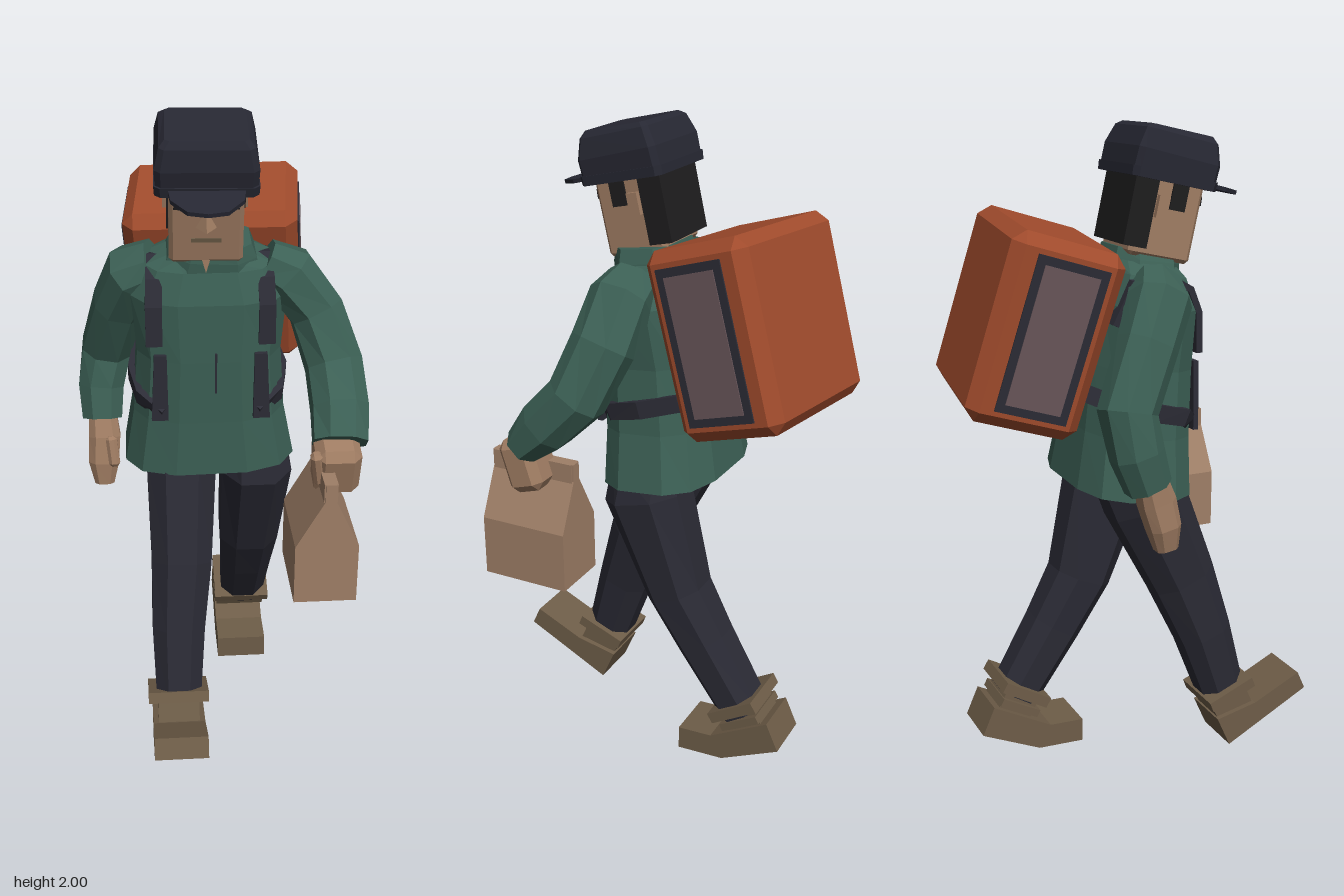
import * as THREE from 'three';
import { ConvexGeometry } from 'three/addons/geometries/ConvexGeometry.js';

const mat = (name, color) => {
  const m = new THREE.MeshStandardMaterial({ color, flatShading: true });
  m.name = name;
  return m;
};

// Loft along [x, y, z, halfWidth, halfDepth] stations; p squares off the section
function loft(st, n = 8, p = 2) {
  const C = st.map(s => new THREE.Vector3(s[0], s[1], s[2]));
  const pw = v => Math.sign(v) * Math.pow(Math.abs(v), 2 / p);
  const rings = st.map((s, i) => {
    const t = C[Math.min(i + 1, C.length - 1)].clone().sub(C[Math.max(i - 1, 0)]).normalize();
    const u = new THREE.Vector3(1, 0, 0).addScaledVector(t, -t.x).normalize();
    const v = t.clone().cross(u);
    return Array.from({ length: n }, (_, j) => {
      const a = (j + 0.5) / n * Math.PI * 2;
      return C[i].clone().addScaledVector(u, s[3] * pw(Math.cos(a))).addScaledVector(v, s[4] * pw(Math.sin(a)));
    });
  });
  const pts = [], last = rings.length - 1;
  for (let j = 0; j < n; j++) {
    const k = (j + 1) % n;
    for (let i = 0; i < last; i++) {
      const a = rings[i], b = rings[i + 1];
      pts.push(a[j], a[k], b[j], a[k], b[k], b[j]);
    }
    pts.push(C[0], rings[0][k], rings[0][j], C[last], rings[last][j], rings[last][k]);
  }
  const g = new THREE.BufferGeometry().setFromPoints(pts);
  g.computeVertexNormals();
  return g;
}

// Box with all edges cut off by c
function chamferBox(w, h, d, c) {
  const pts = [];
  for (const x of [-1, 1]) for (const y of [-1, 1]) for (const z of [-1, 1]) {
    const X = x * w / 2, Y = y * h / 2, Z = z * d / 2;
    pts.push(new THREE.Vector3(X, Y - y * c, Z - z * c),
      new THREE.Vector3(X - x * c, Y, Z - z * c),
      new THREE.Vector3(X - x * c, Y - y * c, Z));
  }
  return new ConvexGeometry(pts);
}

const box = (w, h, d) => new THREE.BoxGeometry(w, h, d);
const shapeOf = pts => new THREE.Shape(pts.map(p => new THREE.Vector2(p[0], p[1])));
const extrude = (shape, depth) => new THREE.ExtrudeGeometry(shape, { depth, bevelEnabled: false });

// Side outline of (z, y) points given width w about x = cx
function sideProfile(pts, cx, w) {
  return extrude(shapeOf(pts), w).rotateY(-Math.PI / 2).translate(cx + w / 2, 0, 0);
}

export function createModel() {
  const root = new THREE.Group();
  root.name = 'walkingCourier';
  const green = mat('jacket green', 0x3c6055), navy = mat('trouser navy', 0x2a2a34),
    capMat = mat('cap navy', 0x272833), black = mat('hair black', 0x1e1d1e),
    skin = mat('skin', 0xa07d63), paper = mat('paper brown', 0x9f7f67),
    orange = mat('pack orange', 0xa04b2c), dark = mat('strap dark', 0x2c2c36),
    panel = mat('panel mauve', 0x69565a), shoe = mat('shoe brown', 0x6e5d48);

  const add = (parent, name, geo, m, pos = [0, 0, 0], rot = [0, 0, 0]) => {
    const mesh = new THREE.Mesh(geo, m);
    mesh.name = name;
    mesh.position.set(...pos);
    mesh.rotation.set(...rot);
    parent.add(mesh);
    return mesh;
  };
  const group = (name, pos, rot, order = 'XYZ') => {
    const g = new THREE.Group();
    g.name = name;
    g.position.set(...pos);
    g.rotation.set(...rot, order);
    root.add(g);
    return g;
  };

  // Jacket body and collar
  add(root, 'jacketBody', loft([
    [-0.032, 0.925, -0.035, 0.268, 0.185], [-0.035, 1.1, -0.018, 0.235, 0.17],
    [-0.035, 1.3, 0.0, 0.22, 0.162], [-0.035, 1.48, 0.02, 0.235, 0.146],
    [-0.035, 1.57, 0.03, 0.19, 0.115], [-0.035, 1.6, 0.035, 0.12, 0.1]], 12, 3), green);
  add(root, 'collar', loft([
    [-0.03, 1.54, 0.03, 0.155, 0.115], [-0.025, 1.6, 0.04, 0.135, 0.112],
    [-0.025, 1.635, 0.045, 0.118, 0.105]], 8, 2.8), green);
  add(root, 'neckOpening', new ConvexGeometry([[-0.065, 1.62], [-0.03, 1.62], [-0.048, 1.56]].flatMap(
    ([x, y]) => [new THREE.Vector3(x, y, 0.12), new THREE.Vector3(x, y, 0.149)])), skin);
  add(root, 'zip', box(0.006, 0.13, 0.008), dark, [-0.02, 1.25, 0.156], [0.06, 0, 0]);

  // Sleeves
  add(root, 'leftSleeve', loft([
    [0.13, 1.55, 0.03, 0.07, 0.08], [0.2, 1.515, 0.035, 0.09, 0.095], [0.285, 1.4, 0.05, 0.085, 0.095],
    [0.335, 1.25, 0.11, 0.088, 0.09], [0.342, 1.15, 0.21, 0.088, 0.085],
    [0.336, 1.075, 0.285, 0.085, 0.062]], 8, 2.3), green);
  add(root, 'rightSleeve', loft([
    [-0.19, 1.545, 0.02, 0.07, 0.08], [-0.255, 1.515, 0.0, 0.085, 0.095], [-0.3, 1.4, -0.06, 0.08, 0.09],
    [-0.345, 1.22, -0.145, 0.08, 0.087], [-0.365, 1.1, -0.125, 0.075, 0.08],
    [-0.365, 1.0, -0.09, 0.066, 0.07]], 8, 2.3), green);

  // Hands
  add(root, 'leftHand', chamferBox(0.135, 0.17, 0.12, 0.025), skin, [0.325, 1.01, 0.293], [0.3, 0, 0]);
  add(root, 'leftThumb', chamferBox(0.035, 0.11, 0.04, 0.01), skin, [0.265, 1.02, 0.335], [0.2, 0, 0.15]);
  add(root, 'rightHand', loft([
    [-0.365, 1.03, -0.085, 0.045, 0.045], [-0.36, 0.95, -0.06, 0.052, 0.055],
    [-0.365, 0.87, -0.04, 0.05, 0.05], [-0.365, 0.8, -0.03, 0.032, 0.035]], 8, 3), skin);
  add(root, 'rightThumb', chamferBox(0.035, 0.1, 0.035, 0.01), skin, [-0.335, 0.92, -0.005], [-0.2, 0, 0.1]);

  // Paper bag with a folded top
  add(root, 'paperBag', extrude(shapeOf([[0.192, 0.62], [0.38, 0.62], [0.38, 0.81], [0.308, 0.96],
    [0.308, 1.015], [0.276, 1.015], [0.276, 0.96], [0.192, 0.81]]), 0.285), paper, [0, 0, 0.147]);
  add(root, 'bagFold', box(0.04, 0.06, 0.275), paper, [0.292, 0.985, 0.29]);

  // Trousers
  add(root, 'rightLeg', loft([
    [-0.125, 0.96, -0.035, 0.1, 0.115], [-0.122, 0.88, 0.015, 0.115, 0.132], [-0.13, 0.6, 0.14, 0.1, 0.11],
    [-0.145, 0.4, 0.215, 0.088, 0.092], [-0.15, 0.18, 0.285, 0.075, 0.077]], 8, 2.4), navy);
  add(root, 'leftLeg', loft([
    [0.105, 0.96, -0.01, 0.1, 0.12], [0.115, 0.88, -0.005, 0.118, 0.137], [0.105, 0.56, -0.11, 0.102, 0.1],
    [0.105, 0.4, -0.205, 0.09, 0.09], [0.105, 0.18, -0.345, 0.08, 0.077]], 8, 2.4), navy);

  // Shoes, narrower ankles and wide cuffs
  add(root, 'rightShoe', sideProfile([[0.28, 0.01], [0.565, 0.155], [0.537, 0.215], [0.375, 0.14],
    [0.235, 0.11]], -0.152, 0.165), shoe);
  add(root, 'rightAnkle', box(0.13, 0.1, 0.13), shoe, [-0.152, 0.15, 0.295], [-0.42, 0, 0]);
  add(root, 'rightShoeCuff', box(0.19, 0.035, 0.165), shoe, [-0.152, 0.195, 0.282], [-0.38, 0, 0]);
  add(root, 'leftShoe', sideProfile([[-0.142, 0.003], [-0.142, 0.08], [-0.255, 0.085],
    [-0.31, 0.115], [-0.447, 0.19], [-0.487, 0.1], [-0.295, 0.01]], 0.09, 0.165), shoe);
  add(root, 'leftAnkle', box(0.13, 0.11, 0.12), shoe, [0.095, 0.165, -0.36], [0.5, 0, 0]);
  add(root, 'leftShoeCuff', box(0.19, 0.035, 0.17), shoe, [0.1, 0.21, -0.335], [0.53, 0, 0]);
  add(root, 'leftAnkleBand', box(0.165, 0.025, 0.14), shoe, [0.096, 0.165, -0.355], [0.5, 0, 0]);

  // Head
  const head = group('head', [-0.045, 1.73, 0.07], [0.22, -0.03, 0]);
  add(head, 'face', chamferBox(0.21, 0.27, 0.2, 0.012), skin, [0, 0.015, 0.008]);
  add(head, 'neck', box(0.14, 0.16, 0.14), skin, [0, -0.15, -0.01]);
  add(head, 'hairBack', box(0.222, 0.22, 0.075), black, [0, 0.015, -0.08]);
  add(head, 'nose', new ConvexGeometry([[0, 0.06, 0.1], [-0.035, -0.005, 0.1], [0.035, -0.005, 0.1],
    [0, 0, 0.15]].map(p => new THREE.Vector3(...p))), skin);
  add(head, 'mouth', box(0.085, 0.012, 0.006), shoe, [0, -0.043, 0.109]);
  for (const s of [-1, 1]) {
    add(head, 'eye', box(0.07, 0.028, 0.008), black, [s * 0.055, 0.065, 0.109], [0, 0, s * 0.12]);
    add(head, 'sideburn', box(0.008, 0.085, 0.05), black, [s * 0.107, 0.07, 0.03]);
    add(head, 'ear', box(0.025, 0.065, 0.035), skin, [s * 0.109, 0.03, -0.02]);
  }

  // Cap
  add(head, 'capBand', loft([[0, 0.102, -0.004, 0.145, 0.137], [0, 0.13, -0.004, 0.147, 0.139]], 8, 14), capMat);
  add(head, 'capCrown', loft([[0, 0.12, -0.004, 0.142, 0.134], [0, 0.18, -0.002, 0.145, 0.134],
    [0, 0.238, 0, 0.132, 0.118], [0, 0.254, 0, 0.115, 0.103]], 8, 14), capMat);
  const brim = shapeOf([[-0.11, -0.09], [0.11, -0.09], [0.1, -0.18], [0.055, -0.24], [0, -0.252],
    [-0.055, -0.24], [-0.1, -0.18]]);
  add(head, 'capBrim', extrude(brim, 0.012), capMat, [0, 0.116, 0], [-Math.PI / 2 + 0.03, 0, 0]);

  // Box pack with a framed panel on each side
  const pack = group('pack', [0.012, 1.436, -0.309], [0.297, -0.115, 0.045], 'YXZ');
  add(pack, 'packBox', chamferBox(0.528, 0.555, 0.34, 0.035), orange);
  for (const s of [-1, 1]) {
    add(pack, 'panelFrame', box(0.008, 0.455, 0.215), dark, [s * 0.265, 0, 0.012]);
    add(pack, 'sidePanel', box(0.008, 0.405, 0.165), panel, [s * 0.268, 0, 0.012]);
  }

  // Shoulder straps and the belts running back to the pack
  for (const s of [-1, 1]) {
    const X = d => -0.035 + s * d;
    add(root, 'shoulderStrap', loft([
      [X(0.155), 1.44, -0.12, 0.029, 0.012], [X(0.155), 1.56, -0.06, 0.029, 0.012],
      [X(0.158), 1.575, 0.04, 0.029, 0.012], [X(0.162), 1.53, 0.12, 0.029, 0.012],
      [X(0.165), 1.46, 0.146, 0.029, 0.012], [X(0.165), 1.34, 0.148, 0.029, 0.012]], 4, 4), dark);
    add(root, 'lowerStrap', loft([
      [X(0.148), 1.31, 0.149, 0.022, 0.01], [X(0.152), 1.1, 0.146, 0.03, 0.01]], 4, 4), dark);
    add(root, 'sideBelt', loft([
      [X(0.14), 1.115, 0.142, 0.012, 0.032], [X(0.212), 1.155, 0.09, 0.012, 0.032],
      [X(0.234), 1.185, -0.02, 0.012, 0.032], [X(0.215), 1.22, -0.14, 0.012, 0.03],
      [X(0.17), 1.25, -0.21, 0.012, 0.03]], 4, 4), dark);
  }
  return root;
}
